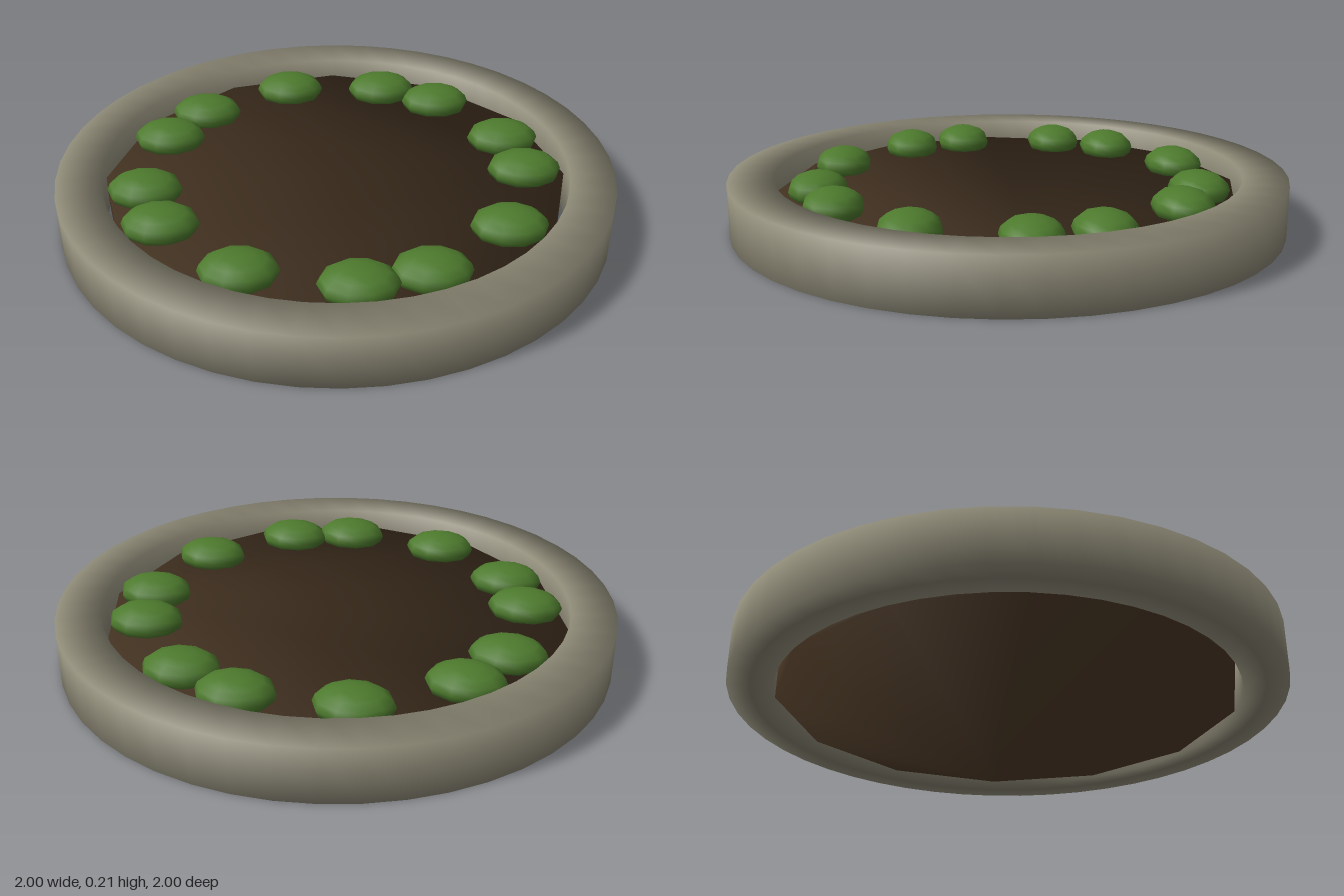
import * as THREE from 'three';

const stone = new THREE.MeshStandardMaterial({ name: 'stone', color: 0x8f8b78 });
const earth = new THREE.MeshStandardMaterial({ name: 'earth', color: 0x483624 });
const leaf = new THREE.MeshStandardMaterial({ name: 'leaf', color: 0x4d7a2d });

function part(parent, name, geometry, material) {
  const mesh = new THREE.Mesh(geometry, material);
  mesh.name = name;
  parent.add(mesh);
  return mesh;
}

// Low prism with softly blended rim normals and centreless caps
function softPrism(radius, bottom, top, sides) {
  const pos = [], nor = [], index = [];
  for (let i = 0; i < sides; i++) {
    const a = (i / sides) * Math.PI * 2;
    const c = Math.cos(a), s = -Math.sin(a);
    for (const [y, ny] of [[bottom, -1], [top, 1]]) {
      const n = new THREE.Vector3(c * 4, ny, s * 4).normalize();
      pos.push(c * radius, y, s * radius);
      nor.push(n.x, n.y, n.z);
    }
    // wall
    const b0 = 2 * i, t0 = b0 + 1, b1 = 2 * ((i + 1) % sides), t1 = b1 + 1;
    index.push(b0, b1, t1, b0, t1, t0);
    // caps
    if (i > 0 && i < sides - 1) index.push(1, t0, t1, 0, b1, b0);
  }
  const g = new THREE.BufferGeometry();
  g.setAttribute('position', new THREE.Float32BufferAttribute(pos, 3));
  g.setAttribute('normal', new THREE.Float32BufferAttribute(nor, 3));
  g.setIndex(index);
  return g;
}

export function createModel() {
  const model = new THREE.Group();
  model.name = 'roundFlowerBed';

  // Stone kerb: square section with smooth shading
  const section = [[0.92, 0], [1, 0], [1, 0.19], [0.84, 0.19], [0.84, 0], [0.92, 0]]
    .map(([x, y]) => new THREE.Vector2(x, y));
  part(model, 'stoneKerb', new THREE.LatheGeometry(section, 48), stone);

  // Twelve-sided soil bed
  part(model, 'soilBed', softPrism(0.84, 0.01, 0.12, 12), earth);

  // Shrubs around the edge
  const shrubs = new THREE.Group();
  shrubs.name = 'shrubs';
  model.add(shrubs);
  const shrubGeometry = new THREE.SphereGeometry(1, 10, 8);
  const spots = [
    [-0.18, -0.665], [0.2, -0.66], [0.415, -0.545], [0.645, -0.235], [0.69, 0],
    [0.58, 0.37], [0.295, 0.62], [0.06, 0.685], [-0.32, 0.61], [-0.6, 0.34],
    [-0.68, 0.12], [-0.635, -0.26], [-0.51, -0.465],
  ];
  for (const [x, z] of spots) {
    const shrub = part(shrubs, 'shrub', shrubGeometry, leaf);
    shrub.position.set(x, 0.145, z);
    shrub.scale.set(0.134, 0.063, 0.107);
  }
  return model;
}
